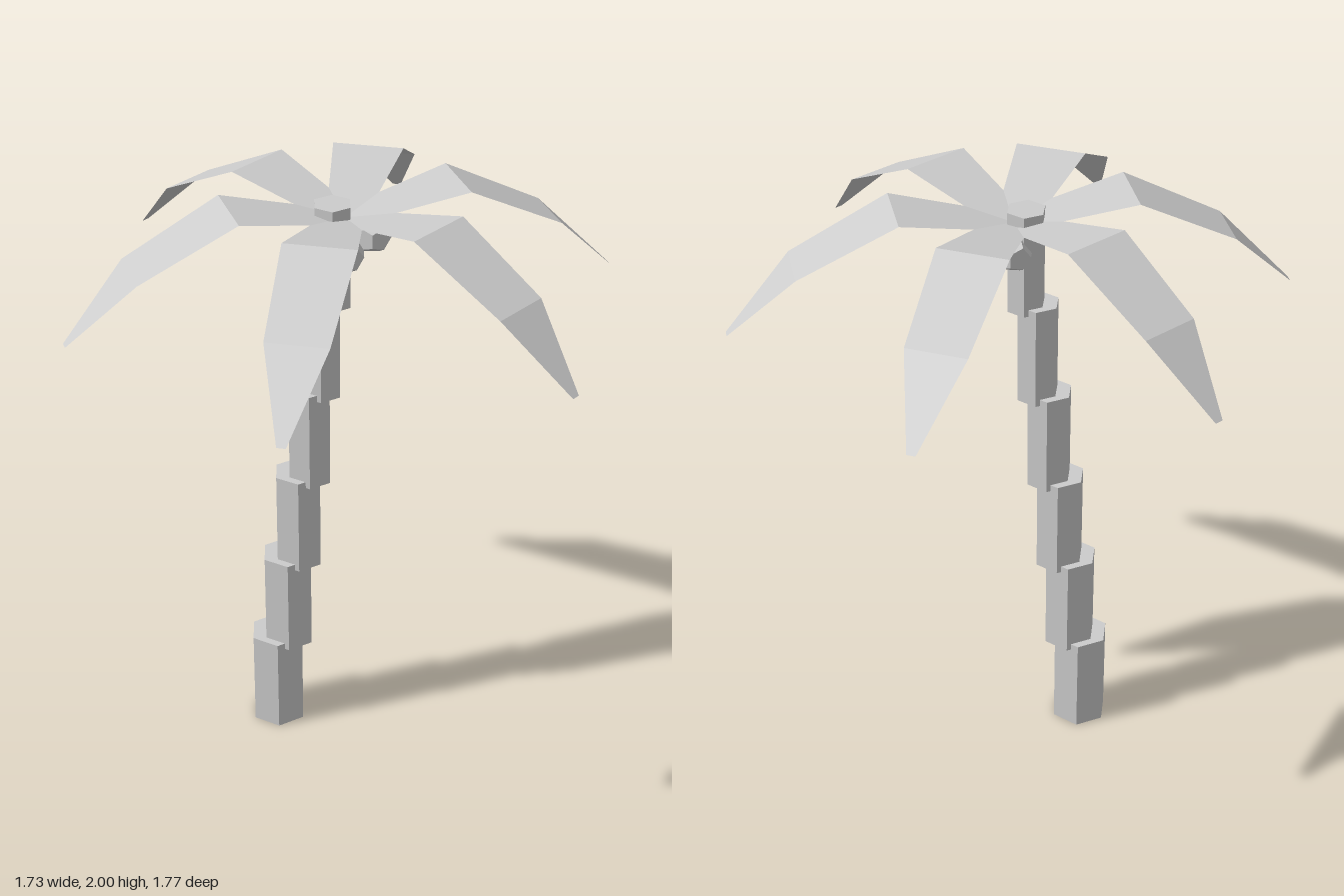
import * as THREE from 'three';

const grey = new THREE.MeshStandardMaterial({ name: 'plain grey', color: 0xcccccc, flatShading: true, side: THREE.DoubleSide });

function add(parent, name, geometry, x = 0, y = 0, z = 0) {
  const mesh = new THREE.Mesh(geometry, grey);
  mesh.name = name;
  mesh.position.set(x, y, z);
  parent.add(mesh);
  return mesh;
}

// Drooping leaf strip running along +x: rows of [radius, height, half width]
function leafGeometry() {
  const rows = [[0, 1.92, 0.06], [0.373, 2, 0.115], [0.69, 1.84, 0.098], [0.905, 1.625, 0.014]];
  const positions = [], index = [];
  rows.forEach(([r, y, w], i) => {
    positions.push(r, y, -w, r, y, w);
    if (i > 0) {
      const a = 2 * (i - 1);
      index.push(a, a + 1, a + 2, a + 1, a + 3, a + 2);
    }
  });
  const g = new THREE.BufferGeometry();
  g.setAttribute('position', new THREE.Float32BufferAttribute(positions, 3));
  g.setIndex(index);
  const flat = g.toNonIndexed();
  flat.computeVertexNormals();
  return flat;
}

export function createModel() {
  const model = new THREE.Group();
  model.name = 'palmTree';

  // Leaning trunk of overlapping six-sided blocks
  const trunk = new THREE.Group();
  trunk.name = 'trunk';
  model.add(trunk);
  const height = 0.347;
  for (let i = 0; i < 6; i++) {
    const r = 0.0965 - i * 0.0065;
    add(trunk, 'trunkSegment', new THREE.CylinderGeometry(r, r, height, 6),
      -0.233 + i * 0.0387, height / 2 + i * 0.324, 0);
  }

  // Six leaves around the crown
  const crown = new THREE.Group();
  crown.name = 'crown';
  model.add(crown);
  const leaf = leafGeometry();
  for (let i = 0; i < 6; i++) {
    add(crown, 'leaf', leaf).rotation.y = THREE.MathUtils.degToRad(17.5 + i * 60);
  }

  // Coconuts under the leaves
  const nut = new THREE.DodecahedronGeometry(0.064);
  for (const [x, z] of [[-0.003, 0.1], [0.085, -0.04], [-0.003, -0.055]]) {
    add(model, 'coconut', nut, x, 1.843, z);
  }
  return model;
}
